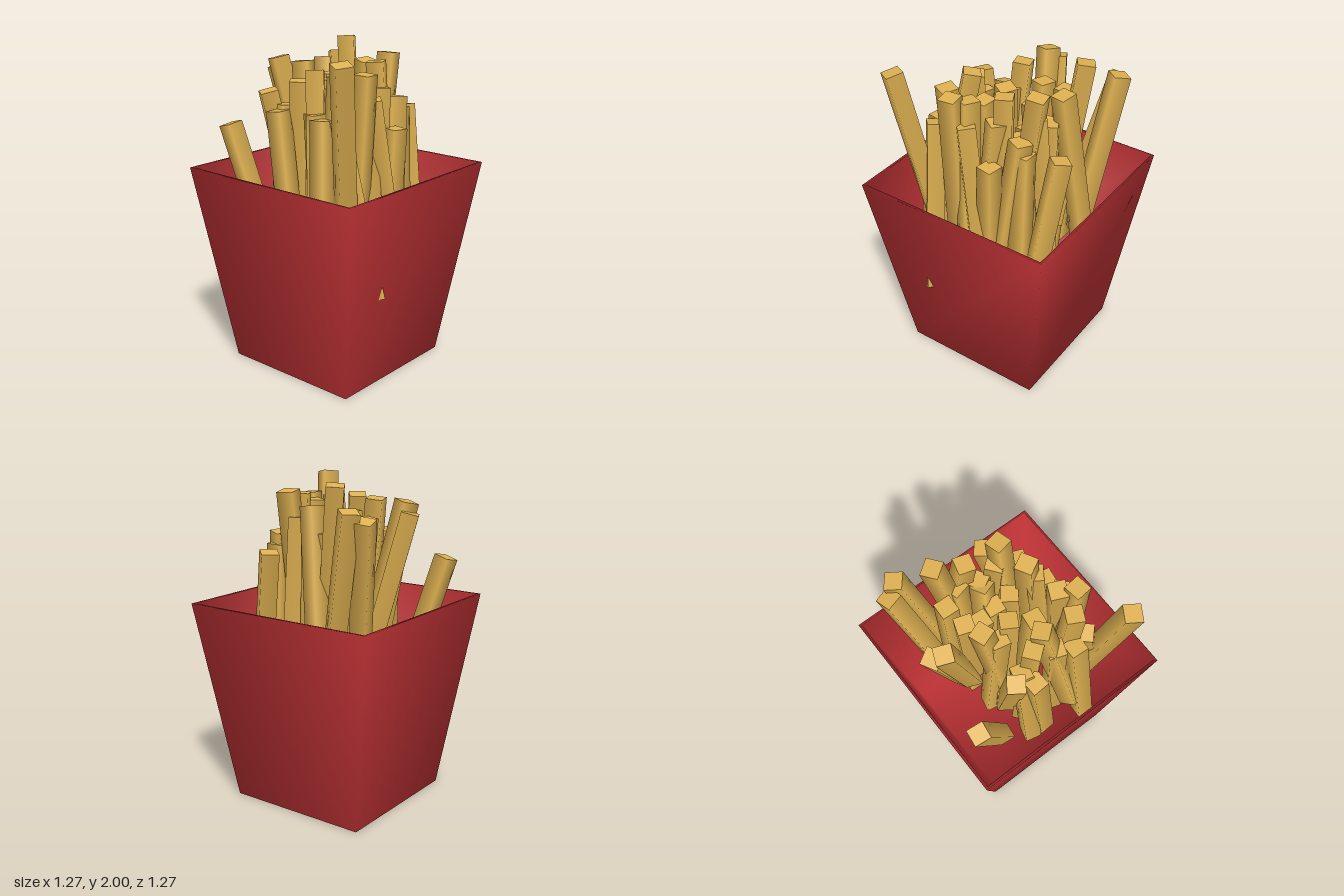
import * as THREE from 'three';

const red = new THREE.MeshStandardMaterial({ color: 0xc83538 });
const gold = new THREE.MeshStandardMaterial({ color: 0xe0b252 });
const FRY_LENGTH = 1.07;
const UP = new THREE.Vector3(0, 1, 0);
const fryGeometry = new THREE.CylinderGeometry(0.073, 0.073, FRY_LENGTH, 4);

// Tapered open carton: square rings lofted up the outside, over the rim and down the inside
function makeCarton() {
  const rings = [[0.455, 0], [0.635, 1.255], [0.618, 1.255], [0.441, 0.02]]; // half width, y
  const corners = [[1, 1], [1, -1], [-1, -1], [-1, 1]];
  const position = [], index = [];
  for (const [half, y] of rings) {
    for (const [sx, sz] of corners) position.push(sx * half, y, sz * half);
  }
  for (let r = 0; r < rings.length - 1; r++) {
    for (let i = 0; i < 4; i++) {
      const a = r * 4 + i, b = r * 4 + (i + 1) % 4;
      index.push(a, b, b + 4, a, b + 4, a + 4);
    }
  }
  index.push(0, 3, 2, 0, 2, 1);         // underside
  index.push(12, 13, 14, 12, 14, 15);   // inner floor
  const geometry = new THREE.BufferGeometry();
  geometry.setAttribute('position', new THREE.Float32BufferAttribute(position, 3));
  geometry.setIndex(index);
  geometry.computeVertexNormals();
  const carton = new THREE.Mesh(geometry, red);
  carton.name = 'carton';
  return carton;
}

// Four-sided stick from its top centre down towards (bx, bz)
function makeFry(tx, ty, tz, bx, bz, twist) {
  const top = new THREE.Vector3(tx, ty, tz);
  const drop = Math.sqrt(FRY_LENGTH ** 2 - (tx - bx) ** 2 - (tz - bz) ** 2);
  const bottom = new THREE.Vector3(bx, ty - drop, bz);
  const fry = new THREE.Mesh(fryGeometry, gold);
  fry.position.copy(top).add(bottom).multiplyScalar(0.5);
  fry.quaternion.setFromUnitVectors(UP, top.sub(bottom).normalize());
  fry.rotateOnAxis(UP, THREE.MathUtils.degToRad(twist));
  return fry;
}

// Outer fries that shape the bundle: top x, y, z, bottom x, z
const outerFries = [
  [-0.33, 1.63, 0.29, -0.235, 0.495],
  [-0.405, 1.51, -0.51, -0.27, -0.23],
  [0, 1.82, -0.5, 0.13, -0.26],
  [-0.04, 1.88, -0.45, 0.07, -0.22],
  [0.425, 1.82, -0.48, 0.2, -0.29],
  [0.47, 1.87, -0.41, 0.36, -0.2],
  [0.21, 1.77, -0.255, 0.2, -0.24],
  [0.35, 1.99, -0.23, 0.26, -0.08],
  [0.065, 1.78, -0.24, 0.1, -0.18],
  [-0.065, 1.88, -0.22, -0.12, -0.1],
  [-0.365, 1.74, -0.22, -0.15, -0.13],
  [-0.395, 1.64, -0.11, -0.38, 0],
  [-0.245, 1.87, 0.04, -0.4, 0.19],
  [0.32, 1.86, -0.045, 0.42, -0.17],
  [0.23, 1.68, 0, -0.05, -0.15],
  [-0.49, 1.97, 0.45, -0.3, 0.33],
  [-0.17, 1.87, 0.35, -0.18, 0.29],
  [-0.08, 1.71, 0.33, 0.08, 0.4],
  [0.1, 1.52, 0.36, 0.06, 0.33],
  [0.1, 1.9, 0.21, 0.12, 0.28],
  [0.24, 1.68, 0.255, 0.12, 0.33],
  [0.285, 1.93, 0.16, 0.14, 0.16],
  [0.45, 1.59, 0.17, 0.35, 0.35],
  [-0.36, 1.62, 0.2, -0.45, 0.27],
];

// Small seeded generator, 0 to 1
function makeRandom(seed) {
  return () => {
    seed = (seed * 16807) % 2147483647;
    return seed / 2147483647;
  };
}

export function createModel() {
  const model = new THREE.Group();
  model.name = 'friesInCarton';
  model.add(makeCarton());

  const fries = new THREE.Group();
  fries.name = 'fries';
  outerFries.forEach((row, i) => {
    const fry = makeFry(...row, i * 37);
    fry.name = `outerFry${i + 1}`;
    fries.add(fry);
  });

  // Inner fries fill the middle on a jittered 4 x 4 grid
  const random = makeRandom(4217);
  const spread = (amount) => (random() - 0.5) * amount;
  for (let i = 0; i < 16; i++) {
    const x = -0.27 + (i % 4) * 0.18 + spread(0.08);
    const z = -0.15 + Math.floor(i / 4) * 0.13 + spread(0.06);
    const y = 1.7 + spread(0.34);
    const fry = makeFry(x, y, z, x + spread(0.2), z + spread(0.2), random() * 90);
    fry.name = `innerFry${i + 1}`;
    fries.add(fry);
  }
  model.add(fries);
  return model;
}
